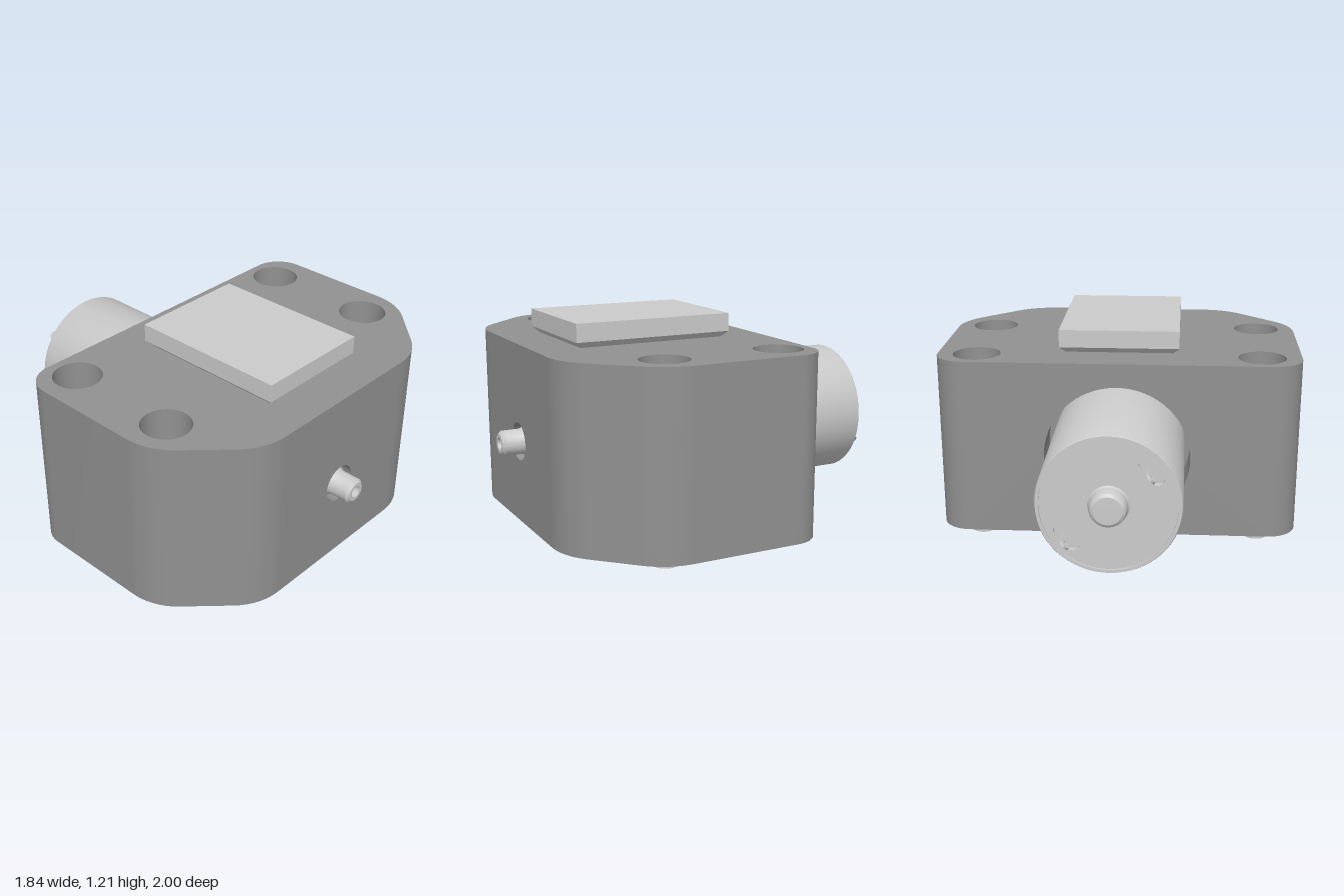
import * as THREE from 'three';
import { toCreasedNormals } from 'three/addons/utils/BufferGeometryUtils.js';

const light = new THREE.MeshStandardMaterial({ color: 0xcccccc });
const lightThin = new THREE.MeshStandardMaterial({ color: 0xcccccc, side: THREE.DoubleSide });
const dark = new THREE.MeshStandardMaterial({ color: 0x919191, side: THREE.DoubleSide });

const BOTTOM = 0.185, TOP = 1.09, FRONT = 0.9, BACK = -0.3, AXIS = 0.6;
const BORE_FLOOR = 0.42;
const SCREWS = [[-0.72, -0.14], [0.72, -0.14], [-0.72, 0.455], [0.72, 0.455]];

function add(parent, name, geometry, material = light) {
  const mesh = new THREE.Mesh(toCreasedNormals(geometry, 0.5), material);
  mesh.name = name;
  parent.add(mesh);
  return mesh;
}

const v2 = ([x, y]) => new THREE.Vector2(x, y);
const lathe = (profile, sides = 48) => new THREE.LatheGeometry(profile.map(v2), sides);
const circle = (x, y, r) => new THREE.Path().absarc(x, y, r, 0, Math.PI * 2);

// Half of the footprint (x, z), running from the front panel round to the back panel
function sideOutline() {
  const path = new THREE.Path();
  path.absarc(0.43, 0.59, 0.31, Math.PI / 2, Math.PI / 4, true);
  path.absarc(0.61, 0.41, 0.31, Math.PI / 4, 0, true);
  path.absarc(0.77, -0.15, 0.15, 0, -Math.PI / 2, true);
  return path.getPoints(8);
}

// Upright strip that follows a list of (x, z) points
function wall(points) {
  const geometry = new THREE.PlaneGeometry(1, 1, points.length - 1, 1);
  const pos = geometry.attributes.position;
  for (let i = 0; i < pos.count; i++) {
    const p = points[i % points.length];
    pos.setXYZ(i, p.x, i < points.length ? TOP : BOTTOM, p.y);
  }
  return geometry;
}

// Upright flat panel with a round opening on the shaft axis
function panel(halfWidth, radius) {
  const shape = new THREE.Shape([[-halfWidth, BOTTOM], [halfWidth, BOTTOM], [halfWidth, TOP], [-halfWidth, TOP]].map(v2));
  shape.holes.push(circle(0, AXIS, radius));
  return new THREE.ShapeGeometry(shape, 32);
}

function createHousing() {
  const housing = new THREE.Group();
  housing.name = 'housing';
  const right = sideOutline();
  const left = right.map(p => new THREE.Vector2(-p.x, p.y)).reverse();
  add(housing, 'rightWall', wall(right), dark);
  add(housing, 'leftWall', wall(left), dark);
  add(housing, 'frontPanel', panel(0.43, 0.095).translate(0, 0, FRONT), dark);
  add(housing, 'backPanel', panel(0.77, 0.37).rotateY(Math.PI).translate(0, 0, BACK), dark);

  // Top with screw openings, and plain bottom
  const outline = [...right, ...left];
  const top = new THREE.Shape(outline.map(p => new THREE.Vector2(p.x, -p.y)));
  for (const [x, z] of SCREWS) top.holes.push(circle(x, -z, 0.12));
  add(housing, 'topFace', new THREE.ShapeGeometry(top, 24).rotateX(-Math.PI / 2).translate(0, TOP, 0), dark);
  add(housing, 'bottomFace', new THREE.ShapeGeometry(new THREE.Shape(outline)).rotateX(Math.PI / 2).translate(0, BOTTOM, 0), dark);

  // Recesses: four screw bores, the shaft opening and the motor opening
  for (const [x, z] of SCREWS) {
    add(housing, 'screwBore', lathe([[0, BORE_FLOOR], [0.12, BORE_FLOOR], [0.12, TOP]]).translate(x, 0, z), dark);
  }
  add(housing, 'shaftBore', lathe([[0, 0.8], [0.095, 0.8], [0.095, FRONT]], 32)
    .rotateX(Math.PI / 2).translate(0, AXIS, 0), dark);
  add(housing, 'motorBore', lathe([[0, 0.05], [0.37, 0.05], [0.37, -BACK]], 64)
    .rotateX(-Math.PI / 2).translate(0, AXIS, 0), dark);
  return housing;
}

// Domed screw head with a cross recess, and a tip showing below the housing
function createScrew(x, z, turn) {
  const screw = new THREE.Group();
  screw.name = 'screw';
  const long = 0.1, short = 0.065, w = 0.018;
  const shape = new THREE.Shape().absarc(0, 0, 0.11, 0, Math.PI * 2);
  shape.holes.push(new THREE.Path([
    [long, -w], [long, w], [w, w], [w, short], [-w, short], [-w, w],
    [-long, w], [-long, -w], [-w, -w], [-w, -short], [w, -short], [w, -w]].map(v2)));
  const head = new THREE.ExtrudeGeometry(shape, { depth: 0.12, bevelEnabled: false, curveSegments: 32 });
  const pos = head.attributes.position;
  for (let i = 0; i < pos.count; i++) {
    const r2 = pos.getX(i) ** 2 + pos.getY(i) ** 2;
    if (pos.getZ(i) > 0.1) pos.setZ(i, 0.12 - 4 * r2);
  }
  add(screw, 'screwHead', head.rotateX(-Math.PI / 2).translate(0, BORE_FLOOR, 0));
  add(screw, 'recessFloor', new THREE.CylinderGeometry(0.105, 0.105, 0.05, 32).translate(0, BORE_FLOOR + 0.025, 0));
  add(screw, 'screwTip', new THREE.CylinderGeometry(0.06, 0.06, 0.1, 32).translate(0, 0.175, 0));
  screw.position.set(x, 0, z);
  screw.rotation.y = turn;
  return screw;
}

// Motor, built facing +z and turned to face backwards
function createMotor() {
  const motor = new THREE.Group();
  motor.name = 'motor';
  add(motor, 'motorCan', lathe([[0, 0.06], [0.34, 0.06], [0.34, 0.9], [0.335, 0.91], [0.32, 0.91], [0.32, 0.87], [0, 0.87]], 64)
    .rotateX(Math.PI / 2));

  // End cap with a slot for each terminal
  const cx = 0.195, cy = 0.165;
  const angle = Math.atan2(cy, cx) + Math.PI / 2;
  const tx = Math.cos(angle) * 0.045, ty = Math.sin(angle) * 0.045;
  const cap = new THREE.Shape().absarc(0, 0, 0.32, 0, Math.PI * 2);
  for (const s of [1, -1]) {
    const slot = new THREE.Path();
    slot.absarc(s * cx + tx, s * cy + ty, 0.03, angle - Math.PI / 2, angle + Math.PI / 2);
    slot.absarc(s * cx - tx, s * cy - ty, 0.03, angle + Math.PI / 2, angle + Math.PI * 1.5);
    cap.holes.push(slot);
  }
  add(motor, 'endCap', new THREE.ExtrudeGeometry(cap, { depth: 0.03, bevelEnabled: false, curveSegments: 24 }).translate(0, 0, 0.87));
  add(motor, 'rearBoss', lathe([[0.1, 0.895], [0.09, 0.91], [0.088, 0.945], [0.082, 0.96], [0.068, 0.97], [0, 0.972]])
    .rotateX(Math.PI / 2));

  // Flat terminals with rounded, pierced ends
  const tab = new THREE.Shape().moveTo(-0.026, 0.86).lineTo(0.026, 0.86);
  tab.absarc(0, 0.974, 0.026, 0, Math.PI);
  tab.holes.push(circle(0, 0.972, 0.011));
  for (const s of [1, -1]) {
    add(motor, 'terminal', new THREE.ExtrudeGeometry(tab, { depth: 0.012, bevelEnabled: false, curveSegments: 12 })
      .translate(0, 0, -0.006).rotateX(Math.PI / 2).rotateZ(angle).translate(s * cx, s * cy, 0), lightThin);
  }
  motor.position.y = AXIS;
  motor.rotation.y = Math.PI;
  return motor;
}

export function createModel() {
  const model = new THREE.Group();
  model.name = 'gearMotor';
  model.add(createHousing(), createMotor());
  SCREWS.forEach(([x, z], i) => model.add(createScrew(x, z, i === 2 ? -0.85 : 0)));

  // Raised plate on a tapered foot
  add(model, 'topPlate', new THREE.BoxGeometry(0.61, 0.09, 0.815).translate(0, 1.165, 0.298));
  const foot = new THREE.BoxGeometry(0.61, 0.03, 0.815);
  const pos = foot.attributes.position;
  for (let i = 0; i < pos.count; i++) {
    if (pos.getY(i) < 0) pos.setXYZ(i, pos.getX(i) * 0.9, pos.getY(i), pos.getZ(i) * 0.925);
  }
  add(model, 'plateFoot', foot.translate(0, 1.105, 0.298));

  // Front shaft flaring out inside its opening, with a centre hole
  add(model, 'frontShaft', lathe([[0.092, 0.8], [0.092, 0.83], [0.063, 0.89], [0.063, 0.985], [0.048, 1], [0.03, 1], [0.03, 0.96], [0, 0.95]])
    .rotateX(Math.PI / 2).translate(0, AXIS, 0));

  // Bottom shaft with collar and centre hole
  add(model, 'bottomShaft', lathe([[0, 0.05], [0.03, 0.04], [0.03, 0], [0.047, 0], [0.062, 0.018], [0.062, 0.157], [0.088, 0.157], [0.088, 0.2], [0, 0.2]])
    .translate(0, 0, 0.165));
  return model;
}
